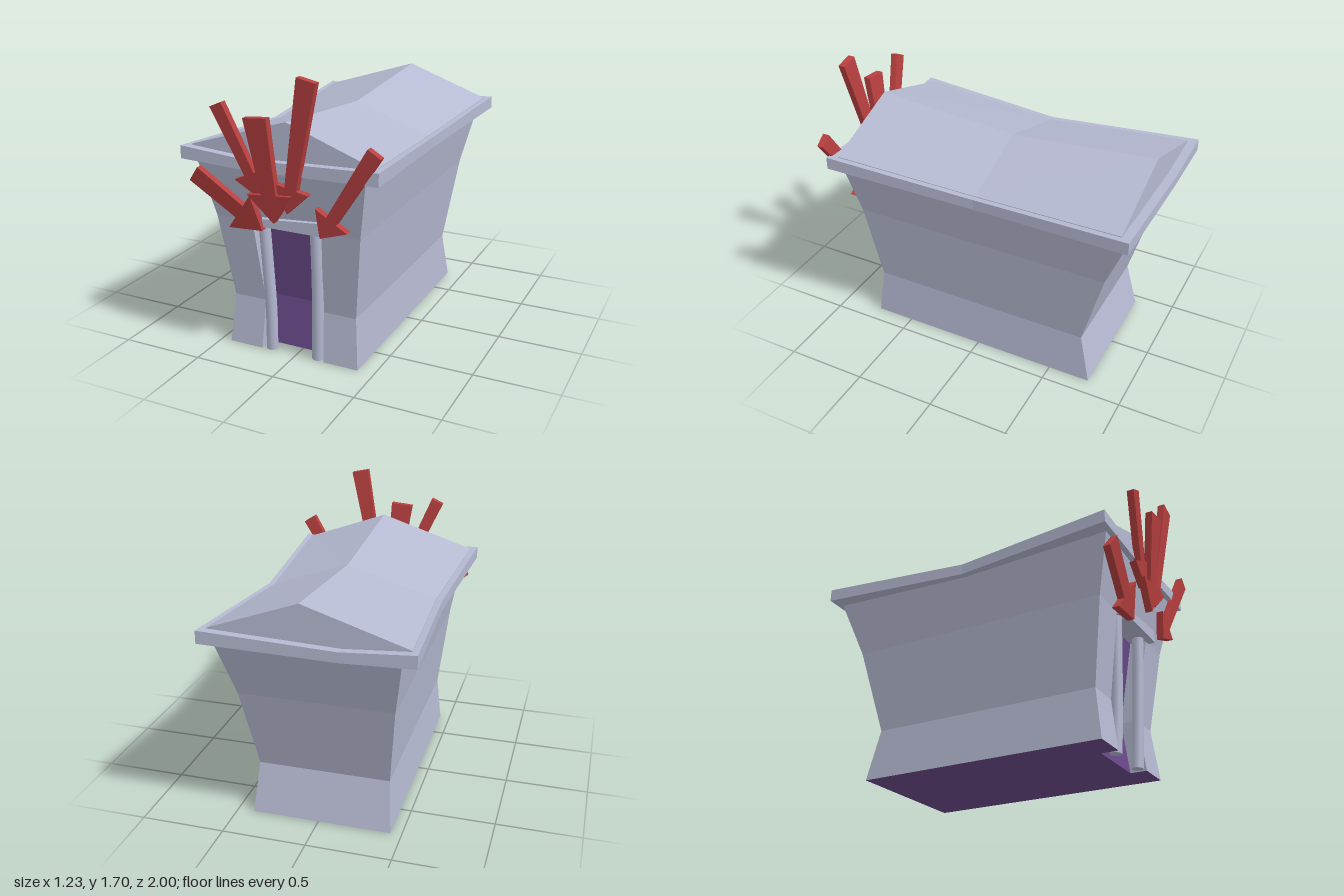
import * as THREE from 'three';

const mat = (name, color, side = THREE.FrontSide) => {
  const m = new THREE.MeshStandardMaterial({ color, side });
  m.name = name;
  return m;
};

// Flat-shaded geometry from a list of quads (corners counter-clockwise from outside)
function quadGeometry(quads, tris = []) {
  const pos = [];
  for (const [a, b, c, d] of quads) pos.push(...a, ...b, ...c, ...a, ...c, ...d);
  for (const t of tris) pos.push(...t.flat());
  const g = new THREE.BufferGeometry();
  g.setAttribute('position', new THREE.Float32BufferAttribute(pos, 3));
  g.computeVertexNormals();
  return g;
}

// Joins counter-clockwise xy sections, listed from front (+z) to back, and caps both ends
function loft(sections) {
  const rings = sections.map(({ z, pts }) => pts.map(([x, y]) => [x, y, z]));
  const quads = [], tris = [];
  for (let s = 0; s < rings.length - 1; s++) {
    const f = rings[s], b = rings[s + 1];
    f.forEach((p, i) => {
      const j = (i + 1) % f.length;
      quads.push([p, b[i], b[j], f[j]]);
    });
  }
  [[rings[0], false], [rings.at(-1), true]].forEach(([ring, flip]) => {
    const flat = ring.map(([x, y]) => new THREE.Vector2(x, y));
    for (const [a, b, c] of THREE.ShapeUtils.triangulateShape(flat, [])) {
      tris.push(flip ? [ring[a], ring[c], ring[b]] : [ring[a], ring[b], ring[c]]);
    }
  });
  return quadGeometry(quads, tris);
}

export function createModel() {
  const group = new THREE.Group();
  const stone = mat('paleStone', 0xb6bad2);
  const purple = mat('doorPurple', 0x6b4a8b);
  const red = mat('arrowRed', 0xb94040);
  const add = (name, geometry, material) => {
    const m = new THREE.Mesh(geometry, material);
    m.name = name;
    group.add(m);
    return m;
  };

  // Wall levels: outer x range, z range and doorway x range
  const levels = [
    { y: 0, x0: -0.435, x1: 0.40, z0: -0.76, z1: 0.74, n0: -0.22, n1: 0.185 },
    { y: 0.3, x0: -0.41, x1: 0.375, z0: -0.69, z1: 0.705, n0: -0.205, n1: 0.17 },
    { y: 0.81, x0: -0.467, x1: 0.433, z0: -0.83, z1: 0.778, n0: -0.235, n1: 0.2 },
    { y: 1.165, x0: -0.53, x1: 0.50, z0: -0.97, z1: 0.86 },
  ];
  const depth = 0.1;
  const strip = (from, to, first = 0, last = 3) => {
    const out = [];
    for (let i = first; i < last; i++) {
      const at = (l, f) => { const [x, z] = f(l); return [x, l.y, z]; };
      const lo = levels[i], hi = levels[i + 1];
      out.push([at(lo, from), at(lo, to), at(hi, to), at(hi, from)]);
    }
    return out;
  };
  const downRect = (y, xa, xb, za, zb) => [[xa, y, za], [xb, y, za], [xb, y, zb], [xa, y, zb]];
  const fl = l => [l.x0, l.z1], fr = l => [l.x1, l.z1];
  const bl = l => [l.x0, l.z0], br = l => [l.x1, l.z0];
  const nl = l => [l.n0, l.z1], nr = l => [l.n1, l.z1];
  const dl = l => [l.n0, l.z1 - depth], dr = l => [l.n1, l.z1 - depth];
  const base = levels[0], head = levels[2];

  add('walls', quadGeometry([
    ...strip(fr, br), ...strip(br, bl), ...strip(bl, fl),
    ...strip(fl, nl, 0, 2), ...strip(nr, fr, 0, 2), ...strip(fl, fr, 2, 3),
    ...strip(nl, dl, 0, 2), ...strip(dr, nr, 0, 2),
    downRect(head.y, head.n0, head.n1, head.z1 - depth, head.z1),
  ]), stone);
  add('door', quadGeometry(strip(dl, dr, 0, 2)), purple);
  add('floor', quadGeometry([
    downRect(0, base.x0, base.x1, base.z0, base.z1 - depth),
    downRect(0, base.x0, base.n0, base.z1 - depth, base.z1),
    downRect(0, base.n1, base.x1, base.z1 - depth, base.z1),
  ]), purple);

  // Sagging eaves slab, pinched at the middle
  const eaves = (z, x0, x1, y0, y1) => ({
    z, pts: [[x0, y0], [-0.2, y0 - 0.015], [x1, y0], [x1, y1], [-0.2, y1 - 0.03], [x0, y1]],
  });
  add('eaves', loft([
    eaves(0.89, -0.615, 0.585, 1.16, 1.235),
    eaves(-0.055, -0.56, 0.525, 1.12, 1.185),
    eaves(-1.0, -0.615, 0.585, 1.16, 1.235),
  ]), stone);

  // Swaybacked gable roof
  const gable = (z, x0, x1, y, ridge) => ({
    z, pts: [[x0, y - 0.055], [x1, y - 0.055], [x1, y], [0.022, ridge], [x0, y]],
  });
  add('roof', loft([
    gable(0.835, -0.575, 0.545, 1.235, 1.425),
    gable(-0.055, -0.52, 0.49, 1.187, 1.35),
    gable(-0.945, -0.575, 0.545, 1.235, 1.425),
  ]), stone);

  // Crooked lintel
  const beam = new THREE.Shape([[-0.22, 0.805], [0.245, 0.805], [0.235, 0.882], [-0.21, 0.845]]
    .map(p => new THREE.Vector2(...p)));
  const lintel = add('lintel', new THREE.ExtrudeGeometry(beam, { depth: 0.12, bevelEnabled: false }), stone);
  lintel.position.z = 0.7;

  // Bent door posts
  const posts = { leftPost: [0.132, 0.143, 0.15, 0.15], rightPost: [-0.17, -0.162, -0.168, -0.176] };
  for (const [name, xs] of Object.entries(posts)) {
    const path = new THREE.CatmullRomCurve3(xs.map((x, i) =>
      new THREE.Vector3(x, i * 0.27, 0.705 + i * 0.014)));
    add(name, new THREE.TubeGeometry(path, 16, 0.034, 16), stone);
    const foot = add(name + 'Foot', new THREE.CircleGeometry(0.034, 16), stone);
    foot.rotation.x = Math.PI / 2;
    foot.position.set(xs[0], 0.001, 0.705);
  }

  // Arrows: tail and tip points, shaft widths, head width and length
  const arrows = [
    { tail: [-0.32, 1.515, 0.95], tip: [-0.095, 1.0, 0.885], w0: 0.08, w1: 0.065, hw: 0.21, hl: 0.15 },
    { tail: [0.22, 1.69, 0.95], tip: [0.06, 0.94, 0.885], w0: 0.11, w1: 0.07, hw: 0.21, hl: 0.15 },
    { tail: [-0.07, 1.472, 0.975], tip: [-0.02, 0.875, 0.89], w0: 0.14, w1: 0.09, hw: 0.27, hl: 0.165 },
    { tail: [-0.53, 1.085, 0.88], tip: [-0.135, 0.79, 0.82], w0: 0.11, w1: 0.10, hw: 0.28, hl: 0.165 },
    { tail: [0.575, 1.342, 0.905], tip: [0.24, 0.82, 0.855], w0: 0.085, w1: 0.065, hw: 0.215, hl: 0.135 },
  ];
  const thick = 0.042;
  arrows.forEach(({ tail, tip, w0, w1, hw, hl }, n) => {
    const a = new THREE.Vector2(tail[0], tail[1]), b = new THREE.Vector2(tip[0], tip[1]);
    const dir = b.clone().sub(a).normalize(), side = new THREE.Vector2(-dir.y, dir.x);
    const neck = b.clone().addScaledVector(dir, -hl);
    const off = (p, d) => p.clone().addScaledVector(side, d / 2);
    const shape = new THREE.Shape([off(a, -w0), off(neck, -w1), off(neck, -hw), b,
      off(neck, hw), off(neck, w1), off(a, w0)]);
    const g = new THREE.ExtrudeGeometry(shape, { depth: thick, bevelEnabled: false });
    // Lean the flat arrow forwards towards its tail
    const p = g.attributes.position, slope = (tail[2] - tip[2]) / (tail[1] - tip[1]);
    for (let i = 0; i < p.count; i++) {
      p.setZ(i, p.getZ(i) - thick / 2 + tip[2] + (p.getY(i) - tip[1]) * slope);
    }
    g.computeVertexNormals();
    add('arrow' + (n + 1), g, red);
  });

  return group;
}
